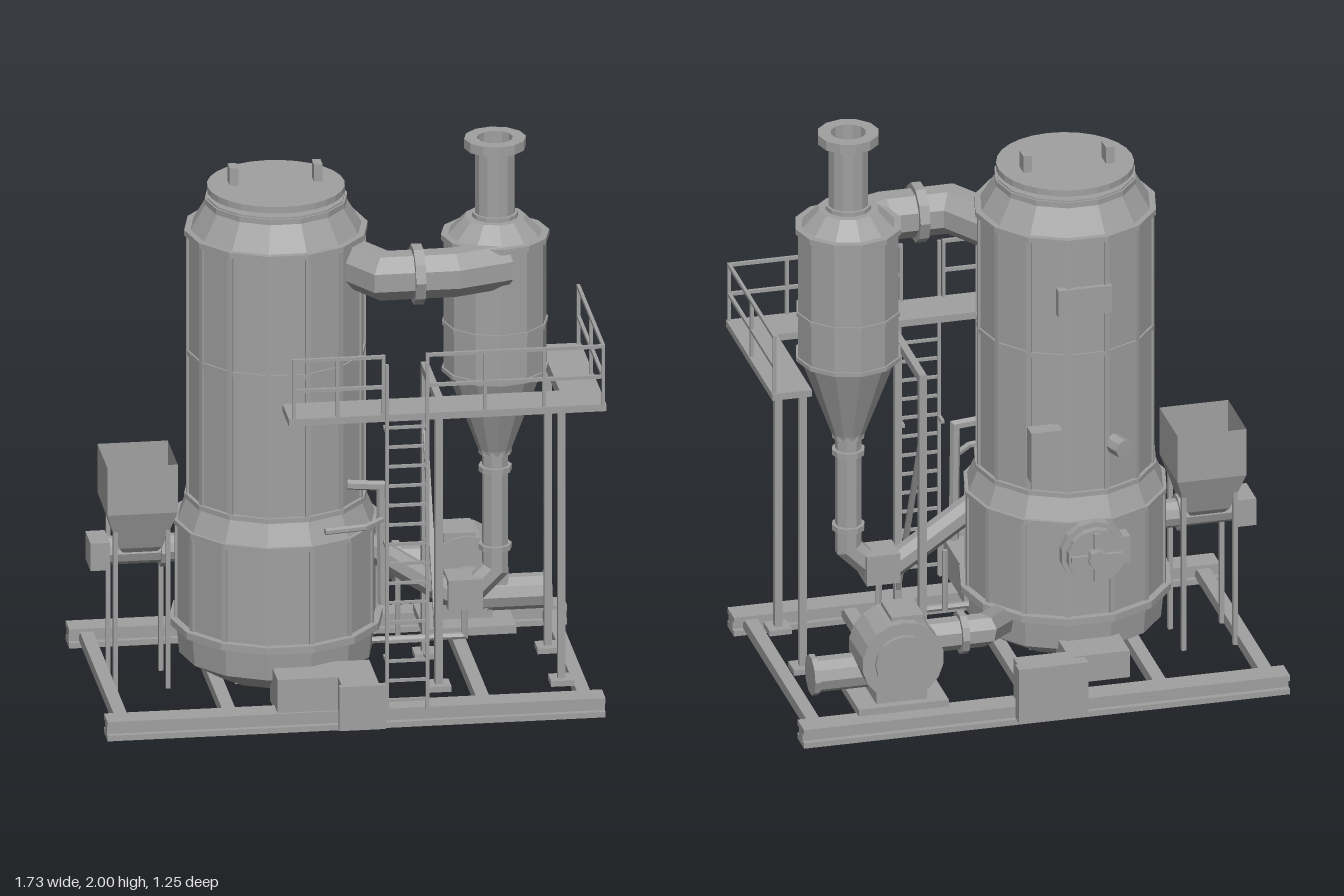
import * as THREE from 'three';

export function createModel() {
  const model = new THREE.Group();
  model.name = 'processPlant';
  const steel = new THREE.MeshStandardMaterial({ color: 0xa0a0a0, flatShading: true, side: THREE.DoubleSide });
  steel.name = 'grey steel';

  const add = (name, geo, x = 0, y = 0, z = 0, parent = model) => {
    const m = new THREE.Mesh(geo, steel);
    m.name = name;
    m.position.set(x, y, z);
    parent.add(m);
    return m;
  };
  // Box from its min/max bounds on each axis
  const box = (name, x0, x1, y0, y1, z0, z1) =>
    add(name, new THREE.BoxGeometry(x1 - x0, y1 - y0, z1 - z0), (x0 + x1) / 2, (y0 + y1) / 2, (z0 + z1) / 2);
  // Faceted body of revolution with a corner on the x axis
  const lathe = (name, pts, sides, x, z, phase = Math.PI / 2) =>
    add(name, new THREE.LatheGeometry(pts.map(p => new THREE.Vector2(...p)), sides, phase).toNonIndexed(), x, 0, z);
  const ring = (name, r, y0, y1, sides, x, z) => lathe(name, [[0, y0], [r, y0], [r, y1], [0, y1]], sides, x, z);
  // Disc whose axis is x or z
  const disc = (name, axis, r, len, sides, x, y, z) => {
    const g = new THREE.CylinderGeometry(r, r, len, sides);
    axis === 'x' ? g.rotateZ(Math.PI / 2) : g.rotateX(Math.PI / 2);
    return add(name, g, x, y, z);
  };
  // Straight-sided pipe with mitred corners
  const pipe = (name, path, r, sides = 8) => {
    const P = path.map(p => new THREE.Vector3(...p));
    const dir = i => P[i + 1].clone().sub(P[i]).normalize();
    const d0 = dir(0);
    const up = Math.abs(d0.y) > 0.9 ? new THREE.Vector3(0, 0, 1) : new THREE.Vector3(0, 1, 0);
    const u = up.clone().cross(d0).normalize(), v = d0.clone().cross(u);
    let loop = [];
    for (let k = 0; k < sides; k++) {
      const a = (k + 0.5) / sides * Math.PI * 2;
      loop.push(P[0].clone().addScaledVector(u, r * Math.cos(a)).addScaledVector(v, r * Math.sin(a)));
    }
    const pos = [];
    const tri = (...t) => t.forEach(q => pos.push(q.x, q.y, q.z));
    loop.forEach((q, k) => tri(P[0], loop[(k + 1) % sides], q));
    for (let i = 1; i < P.length; i++) {
      const d = dir(i - 1);
      const n = i < P.length - 1 ? d.clone().add(dir(i)).normalize() : d;
      const next = loop.map(q => q.clone().addScaledVector(d, P[i].clone().sub(q).dot(n) / d.dot(n)));
      loop.forEach((q, k) => {
        const k2 = (k + 1) % sides;
        tri(q, loop[k2], next[k2]);
        tri(q, next[k2], next[k]);
      });
      loop = next;
    }
    loop.forEach((q, k) => tri(P[P.length - 1], q, loop[(k + 1) % sides]));
    const g = new THREE.BufferGeometry();
    g.setAttribute('position', new THREE.Float32BufferAttribute(pos, 3));
    g.computeVertexNormals();
    return add(name, g);
  };

  // Skid: two I-beams and cross members
  for (const [z0, z1] of [[0.4, 0.49], [-0.54, -0.45]]) {
    box('skidTopFlange', -0.865, 0.86, 0.05, 0.07, z0, z1);
    box('skidBottomFlange', -0.865, 0.86, 0, 0.02, z0, z1);
    box('skidWeb', -0.865, 0.86, 0.02, 0.05, (z0 + z1) / 2 - 0.025, (z0 + z1) / 2 + 0.025);
  }
  for (const x of [-0.805, -0.43, 0.02, 0.45, 0.8]) box('crossBeam', x - 0.023, x + 0.023, 0.018, 0.058, -0.5, 0.45);

  // Main tank
  const tx = -0.217, tz = 0.03, N = 14;
  lathe('tankBody', [[0, 0.075], [0.22, 0.075], [0.335, 0.145], [0.345, 0.25], [0.345, 0.625], [0.305, 0.72],
    [0.305, 1.67], [0.24, 1.78], [0.24, 1.8], [0.2, 1.8], [0.2, 1.815], [0, 1.815]], N, tx, tz);
  for (const [r, y0, y1] of [[0.37, 0.25, 0.275], [0.355, 0.615, 0.632], [0.318, 0.71, 0.727],
    [0.312, 1.23, 1.248], [0.318, 1.665, 1.685], [0.247, 1.775, 1.795]]) ring('tankBand', r, y0, y1, N, tx, tz);
  ring('tankLid', 0.237, 1.815, 1.838, 28, tx, tz);
  for (const x of [-0.362, -0.07]) box('liftingLug', x - 0.015, x + 0.015, 1.83, 1.9, -0.025, 0.03);
  for (let k = 0; k < N; k++) {
    const a = k / N * Math.PI * 2;
    for (const [r, y0, y1] of [[0.345, 0.275, 0.615], [0.305, 0.727, 1.665]]) {
      const rib = add('tankRib', new THREE.BoxGeometry(0.012, y1 - y0, 0.018),
        tx + r * Math.cos(a), (y0 + y1) / 2, tz + r * Math.sin(a));
      rib.rotation.y = -a;
    }
  }
  for (let k = -3; k <= 3; k++) box('grateBar', tx - 0.16, tx + 0.16, 0.066, 0.076, tz + k * 0.04 - 0.01, tz + k * 0.04 + 0.01);

  // Access door on the tank's back
  disc('doorNeck', 'z', 0.1, 0.1, 14, tx, 0.53, -0.32);
  disc('doorFlange', 'z', 0.118, 0.03, 14, tx, 0.53, -0.345);
  disc('doorCover', 'z', 0.1, 0.025, 14, tx, 0.53, -0.375);
  disc('doorHub', 'z', 0.035, 0.05, 8, tx, 0.53, -0.4);
  box('doorBar', tx - 0.09, tx + 0.09, 0.52, 0.54, -0.4, -0.38);
  box('doorBar', tx - 0.01, tx + 0.01, 0.44, 0.62, -0.4, -0.38);
  box('doorHinge', -0.345, -0.315, 0.48, 0.58, -0.36, -0.3);

  // Tank fittings at the back
  box('cleanoutBox', -0.325, -0.11, 0.08, 0.18, -0.43, -0.25);
  box('instrumentPanel', -0.12, -0.01, 0.79, 0.98, -0.3, -0.24);
  box('ratingPlate', -0.3, -0.11, 1.4, 1.5, -0.285, -0.25);
  const glass = disc('sightGlass', 'z', 0.035, 0.09, 8, -0.32, 0.89, -0.275);
  glass.rotation.y = 0.38;

  // Cyclone with open stack
  const cx = 0.53, cz = 0.115;
  lathe('cycloneBody', [[0.055, 0.85], [0.06, 0.87], [0.165, 1.15], [0.178, 1.17], [0.178, 1.64],
    [0.105, 1.715], [0.07, 1.715]], 12, cx, cz);
  ring('cycloneBand', 0.185, 1.155, 1.17, 12, cx, cz);
  ring('cycloneBand', 0.184, 1.325, 1.34, 12, cx, cz);
  ring('cycloneBand', 0.188, 1.635, 1.655, 12, cx, cz);
  lathe('stack', [[0.08, 1.71], [0.08, 1.73], [0.07, 1.73], [0.07, 1.965], [0.107, 1.965], [0.107, 2],
    [0.062, 2], [0.062, 1.75], [0, 1.75]], 12, cx, cz);

  // Discharge leg, valve and return to the tank
  pipe('dischargeLeg', [[cx, 0.88, cz], [cx, 0.43, cz], [0.45, 0.35, cz], [0.36, 0.35, cz], [0.05, 0.56, cz]], 0.046);
  for (const [r, y] of [[0.058, 0.86], [0.058, 0.795], [0.058, 0.51]]) ring('legFlange', r, y - 0.01, y + 0.01, 10, cx, cz);
  box('rotaryValve', 0.36, 0.48, 0.3, 0.41, 0.055, 0.175);
  pipe('drainPipe', [[0.43, 0.32, cz - 0.03], [0.43, 0.175, cz - 0.03], [0.08, 0.175, cz - 0.03]], 0.012, 6);

  // Gas duct between tank and cyclone
  pipe('gasDuct', [[0, 1.58, 0.1], [0.12, 1.58, 0.295], [0.36, 1.58, 0.295], [0.54, 1.58, 0.235]], 0.085);
  disc('ductFlange', 'x', 0.105, 0.035, 10, 0.235, 1.58, 0.295);

  // Blower and its air duct
  box('blowerBase', 0.33, 0.65, 0.065, 0.095, -0.48, -0.21);
  box('blowerPedestal', 0.4, 0.58, 0.09, 0.2, -0.45, -0.3);
  disc('blowerCasing', 'z', 0.145, 0.185, 18, 0.49, 0.255, -0.378);
  disc('blowerCover', 'z', 0.1, 0.02, 16, 0.49, 0.255, -0.476);
  disc('blowerHub', 'z', 0.04, 0.05, 10, 0.49, 0.255, -0.27);
  box('blowerCap', 0.41, 0.523, 0.36, 0.41, -0.44, -0.295);
  disc('blowerOutlet', 'x', 0.062, 0.26, 10, 0.65, 0.175, -0.33);
  disc('outletFlange', 'x', 0.072, 0.02, 10, 0.773, 0.175, -0.33);
  pipe('airDuct', [[0.45, 0.29, -0.365], [0.18, 0.29, -0.365], [0.03, 0.19, -0.08]], 0.058);
  disc('airDuctFlange', 'x', 0.075, 0.025, 10, 0.255, 0.29, -0.365);

  // Feed hopper, screw feeder and legs
  const hx = -0.685, hz = -0.05, q = Math.SQRT2;
  lathe('hopper', [[0.06 * q, 0.51], [0.075 * q, 0.53], [0.122 * q, 0.67], [0.122 * q, 0.845]], 4, hx, hz, Math.PI / 4);
  disc('screwFeeder', 'x', 0.05, 0.34, 10, -0.67, 0.5, hz);
  disc('feederFlange', 'x', 0.065, 0.02, 10, -0.6, 0.5, hz);
  box('feederMotor', -0.857, -0.79, 0.45, 0.55, -0.115, 0.015);
  for (const x of [-0.775, -0.592]) for (const z of [-0.14, 0.04]) box('hopperLeg', x - 0.008, x + 0.008, 0.02, 0.67, z - 0.008, z + 0.008);

  // Boxes at the skid edges
  box('frontHousing', -0.065, 0.065, 0.065, 0.19, 0.32, 0.6);
  box('frontPlate', -0.08, 0.08, 0.045, 0.205, 0.597, 0.622);
  box('sideHousing', -0.275, -0.065, 0.05, 0.19, 0.3, 0.48);
  box('rearHousing', -0.1, 0.1, 0.08, 0.225, -0.585, -0.475);
  box('rearPlate', -0.125, 0.122, 0.05, 0.25, -0.63, -0.583);

  // L-shaped platform on legs
  box('platformFront', -0.24, 0.86, 1.125, 1.15, 0.35, 0.51);
  box('platformSide', 0.72, 0.86, 1.125, 1.15, -0.115, 0.35);
  for (const x of [0.31, 0.735]) {
    for (const z of [0.285, -0.045]) {
      box('platformLeg', x - 0.013, x + 0.013, 0.07, 1.13, z - 0.013, z + 0.013);
      box('platformFoot', x - 0.04, x + 0.04, 0.06, 0.08, z - 0.04, z + 0.04);
    }
    box('platformBeam', x - 0.013, x + 0.013, 1.1, 1.13, -0.05, 0.4);
  }
  pipe('brace', [[0.31, 0.16, 0.285], [0.31, 0.9, -0.045]], 0.012, 4);

  // Guard rails
  const h = 0.006;
  for (const y of [1.25, 1.36]) {
    box('frontRail', -0.228, 0.095, y - h, y + h, 0.497, 0.509);
    box('frontRail', 0.235, 0.856, y - h, y + h, 0.497, 0.509);
    box('sideRail', 0.844, 0.856, y - h, y + h, -0.11, 0.5);
  }
  for (const x of [-0.222, -0.07, 0.089, 0.241, 0.44, 0.645, 0.85]) box('railPost', x - h, x + h, 1.15, 1.36, 0.497, 0.509);
  for (const z of [-0.104, 0.2]) box('railPost', 0.844, 0.856, 1.15, 1.36, z - h, z + h);

  // Ladder with stand-offs
  for (const x of [0.095, 0.235]) {
    box('ladderRail', x - h, x + h, 0.08, 1.345, 0.535, 0.547);
    for (const y of [0.265, 0.68, 1.1]) box('ladderStandoff', x - h, x + h, y - h, y + h, 0.49, 0.54);
  }
  for (let y = 0.12; y < 1.13; y += 0.071) box('ladderRung', 0.095, 0.235, y - 0.005, y + 0.005, 0.536, 0.546);

  // Small service pipes beside the tank
  pipe('servicePipe', [[0, 0.8, 0.23], [0.12, 0.79, 0.23], [0.125, 0.36, 0.23]], 0.018, 6);
  pipe('servicePipe', [[-0.09, 0.67, 0.335], [0.05, 0.67, 0.31], [0.13, 0.67, 0.23]], 0.012, 6);
  pipe('serviceDrop', [[0.2, 0.4, 0.065], [0.2, 0.17, 0.065]], 0.01, 6);

  return model;
}
